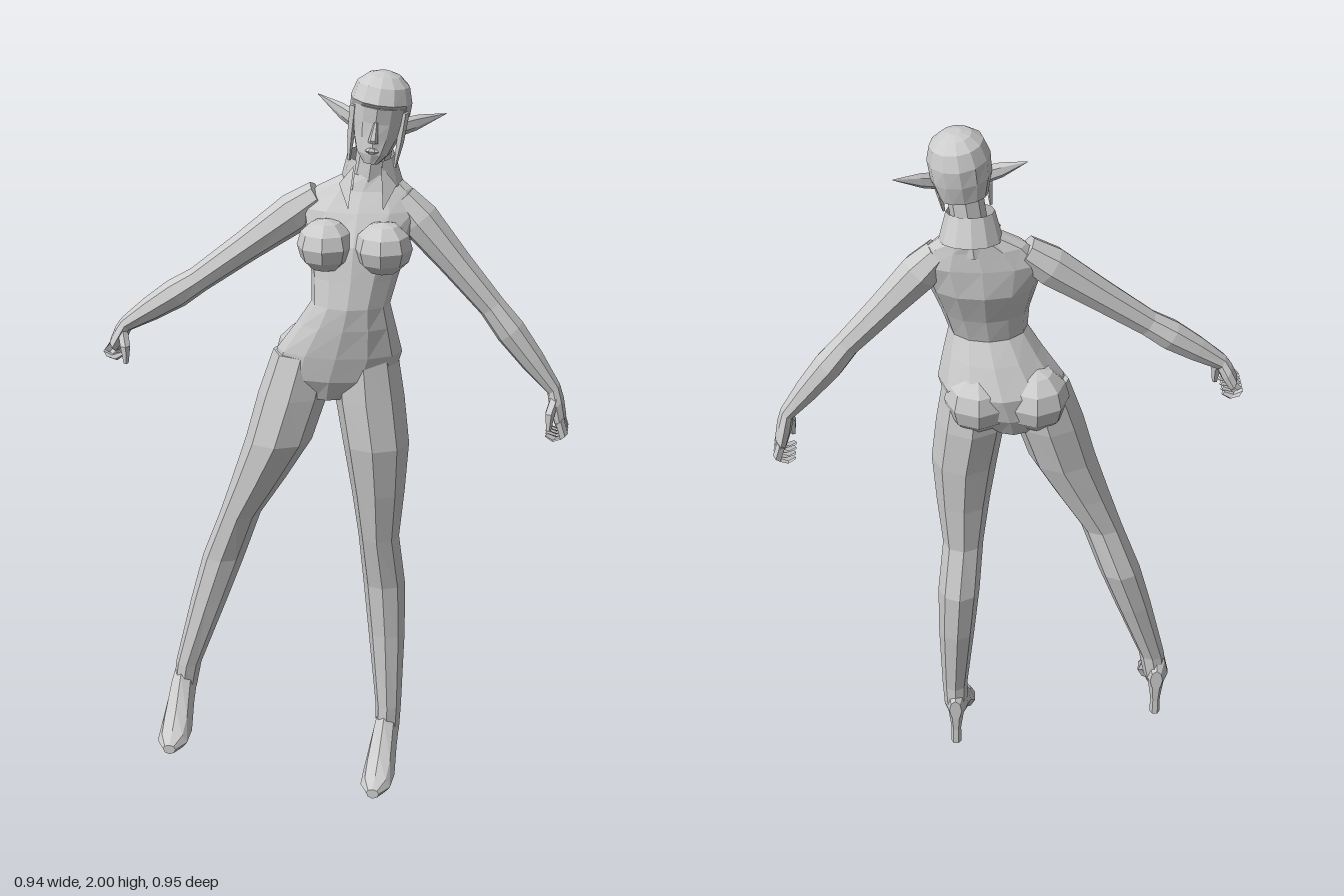
import * as THREE from 'three';

const X = new THREE.Vector3(1, 0, 0), Y = new THREE.Vector3(0, 1, 0), Z = new THREE.Vector3(0, 0, 1);

export function createModel() {
  const grey = new THREE.MeshStandardMaterial({ color: 0xcccccc });
  const greySheet = new THREE.MeshStandardMaterial({ color: 0xcccccc, side: THREE.DoubleSide });
  const model = new THREE.Group();
  const figure = new THREE.Group();
  figure.name = 'figure';
  figure.rotation.y = -Math.PI / 4; // the figure stands turned to its right
  model.add(figure);

  function add(name, geometry, parent = figure, material = grey) {
    const flat = geometry.index ? geometry.toNonIndexed() : geometry;
    flat.computeVertexNormals();
    const mesh = new THREE.Mesh(flat, material);
    mesh.name = name;
    parent.add(mesh);
    return mesh;
  }

  // Skin closed rings [x, y, z, radiusA, radiusB, radiusBehindB] lying in the plane of axes a and b
  function loft(name, rings, n = 8, a = X, b = Z, parent = figure) {
    const pos = [], index = [], count = rings.length;
    for (const [x, y, z, ra, rb, back = rb] of rings) {
      for (let j = 0; j < n; j++) {
        const t = (j / n) * Math.PI * 2, s = Math.sin(t);
        const p = new THREE.Vector3(x, y, z)
          .addScaledVector(a, ra * Math.cos(t)).addScaledVector(b, s * (s > 0 ? rb : back));
        pos.push(p.x, p.y, p.z);
      }
    }
    const first = new THREE.Vector3(...rings[0]), last = new THREE.Vector3(...rings[count - 1]);
    const flip = a.clone().cross(b).dot(last.clone().sub(first)) < 0;
    const tri = (p, q, r) => (flip ? index.push(p, r, q) : index.push(p, q, r));
    pos.push(first.x, first.y, first.z, last.x, last.y, last.z);
    for (let j = 0; j < n; j++) {
      const k = (j + 1) % n;
      for (let i = 0; i < count - 1; i++) {
        const p = i * n + j, q = i * n + k;
        tri(p, q, p + n);
        tri(q, q + n, p + n);
      }
      tri(count * n, k, j);
      tri(count * n + 1, (count - 1) * n + j, (count - 1) * n + k);
    }
    const g = new THREE.BufferGeometry();
    g.setAttribute('position', new THREE.Float32BufferAttribute(pos, 3));
    g.setIndex(index);
    return add(name, g, parent);
  }

  function ball(name, x, y, z, rx, ry, rz) {
    const mesh = add(name, new THREE.SphereGeometry(1, 8, 6).scale(rx, ry, rz));
    mesh.position.set(x, y, z);
  }

  // Torso from crotch to neck base
  loft('torso', [
    [-0.02, 1.13, 0.01, 0.07, 0.07, 0.08],
    [-0.01, 1.19, 0.02, 0.165, 0.09, 0.12],
    [0.01, 1.26, 0.03, 0.167, 0.095, 0.14],
    [0.03, 1.34, 0.045, 0.13, 0.092, 0.115],
    [0.042, 1.40, 0.052, 0.104, 0.09, 0.085],
    [0.05, 1.47, 0.03, 0.115, 0.1, 0.08],
    [0.055, 1.56, 0.0, 0.14, 0.115, 0.085],
    [0.06, 1.64, -0.02, 0.165, 0.09, 0.065],
    [0.07, 1.69, -0.025, 0.125, 0.06, 0.055],
    [0.085, 1.73, -0.03, 0.06, 0.05, 0.05],
  ], 12);
  for (const [x, z] of [[-0.02, 0.085], [0.132, 0.1]]) ball('breast', x, 1.56, z, 0.076, 0.07, 0.085);
  for (const x of [-0.08, 0.072]) ball('buttock', x, 1.225, -0.03, 0.09, 0.09, 0.095);
  loft('neck', [[0.08, 1.68, -0.03, 0.055, 0.055], [0.09, 1.76, -0.025, 0.046, 0.05], [0.1, 1.83, -0.02, 0.046, 0.05]]);

  // Standing collar, open at the throat, with two lapels
  const collar = add('collar',
    new THREE.CylinderGeometry(0.062, 0.082, 0.075, 10, 1, true, 0.55, Math.PI * 2 - 1.1), figure, greySheet);
  collar.position.set(0.087, 1.745, -0.022);
  collar.rotation.x = 0.18;
  for (const s of [-1, 1]) {
    const g = new THREE.BufferGeometry().setFromPoints([
      [0.035, 1.76, 0.035], [0.075, 1.71, 0.03], [0.045, 1.655, 0.085],
    ].map(([x, y, z]) => new THREE.Vector3(0.083 + s * x, y, z)));
    add('lapel', g, figure, greySheet);
  }

  // Legs: shared thicknesses over two different centre lines
  const legSize = [
    [0.085, 0.09, 0.1], [0.094, 0.092, 0.108], [0.09, 0.095, 0.098], [0.073, 0.08, 0.075],
    [0.056, 0.064, 0.056], [0.058, 0.056, 0.066], [0.051, 0.048, 0.058], [0.036, 0.04, 0.04], [0.033, 0.045, 0.04],
  ];
  const legLines = {
    left: [[0.08, 1.25, 0.015], [0.09, 1.13, 0.02], [0.108, 1, 0.025], [0.114, 0.86, 0.018], [0.116, 0.72, 0.008],
      [0.13, 0.57, -0.015], [0.138, 0.42, -0.012], [0.146, 0.2, 0.003], [0.144, 0.12, 0]],
    right: [[-0.085, 1.25, 0.015], [-0.117, 1.13, 0.022], [-0.156, 1, 0.025], [-0.213, 0.88, 0.015], [-0.268, 0.77, 0.005],
      [-0.32, 0.63, -0.012], [-0.362, 0.5, -0.008], [-0.425, 0.3, 0], [-0.438, 0.22, -0.005]],
  };
  for (const side in legLines) loft(side + 'Leg', legLines[side].map((p, i) => [...p, ...legSize[i]]), 8);

  // High-heeled shoes
  function shoe(name, x, y, z, yaw) {
    const g = new THREE.Group();
    g.name = name;
    g.position.set(x, y, z);
    g.rotation.y = yaw;
    figure.add(g);
    loft('upper', [
      [0, 0.13, -0.045, 0.018, 0.035, 0.035], [0, 0.13, -0.01, 0.034, 0.07, 0.045],
      [0, 0.095, 0.045, 0.038, 0.075, 0.04], [0, 0.035, 0.11, 0.045, 0.06, 0.033],
      [0, 0.022, 0.16, 0.042, 0.03, 0.021], [0, 0.018, 0.198, 0.018, 0.012, 0.016],
    ], 8, X, Y, g);
    loft('heel', [[0, 0.12, -0.022, 0.024, 0.026], [0, 0.05, -0.027, 0.014, 0.016], [0, 0, -0.029, 0.015, 0.016]], 6, X, Z, g);
  }
  shoe('leftShoe', 0.142, 0, 0, -0.1);
  shoe('rightShoe', -0.44, 0.1, -0.005, -0.05);

  // Arms: [position between joints 0..3, radius across, radius front to back]
  const armSize = [
    [0, 0.042, 0.045], [0.2, 0.054, 0.056], [0.6, 0.043, 0.047], [1, 0.036, 0.038], [1.3, 0.041, 0.046],
    [1.65, 0.034, 0.038], [2, 0.021, 0.028], [2.3, 0.024, 0.04], [2.65, 0.02, 0.046],
  ];
  function arm(side, joints) {
    const p = joints.map(([x, y, z]) => new THREE.Vector3(x, y, z));
    const out = Math.sign(p[3].x);
    const at = t => p[Math.min(Math.floor(t), 2)].clone().lerp(p[Math.min(Math.floor(t), 2) + 1], t - Math.min(Math.floor(t), 2));
    const along = p[2].clone().sub(p[0]).normalize();
    const across = new THREE.Vector3(-along.y, along.x, 0);
    loft(side + 'Arm', armSize.map(([t, ra, rb]) => [...at(t).toArray(), ra, rb]), 8, across, Z);
    // Curled fingers and thumb
    const knuckle = at(2.6), tip = p[3];
    for (let i = 0; i < 4; i++) {
      const z = knuckle.z - 0.034 + i * 0.023;
      loft(side + 'Finger', [
        [knuckle.x, knuckle.y, z, 0.014, 0.013], [tip.x, tip.y + 0.012, z, 0.014, 0.013],
        [tip.x - out * 0.022, tip.y + 0.003, z, 0.011, 0.011], [tip.x - out * 0.045, tip.y + 0.014, z, 0.007, 0.008],
      ], 5, across, Z);
    }
    const base = at(2.15);
    loft(side + 'Thumb', [
      [base.x, base.y, base.z + 0.015, 0.014, 0.018],
      [base.x - out * 0.012, base.y - 0.035, base.z + 0.046, 0.014, 0.015],
      [base.x - out * 0.014, base.y - 0.082, base.z + 0.05, 0.007, 0.008],
    ], 5, X, Z);
  }
  arm('left', [[0.165, 1.665, -0.018], [0.41, 1.385, 0.002], [0.58, 1.165, 0.01], [0.612, 1.03, 0.005]]);
  arm('right', [[-0.05, 1.665, -0.018], [-0.372, 1.43, 0], [-0.572, 1.3, 0.005], [-0.622, 1.212, 0]]);

  // Head, tilted to its left
  const head = new THREE.Group();
  head.name = 'head';
  head.position.set(0.095, 1.78, 0);
  head.rotation.z = -0.13;
  figure.add(head);
  loft('skull', [
    [0, -0.003, 0.07, 0.02, 0.018, 0.03], [0, 0.022, 0.04, 0.045, 0.054, 0.08],
    [0, 0.06, 0, 0.062, 0.09, 0.072], [0, 0.1, 0, 0.07, 0.086, 0.085], [0, 0.14, 0, 0.072, 0.09, 0.09],
  ], 12, X, Z, head);
  loft('hairCap', [
    [0, 0.055, -0.035, 0.06, 0.035, 0.046], [0, 0.105, -0.015, 0.077, 0.055, 0.078],
    [0, 0.15, 0, 0.08, 0.093, 0.096], [0, 0.19, -0.002, 0.068, 0.076, 0.08],
    [0, 0.212, -0.004, 0.042, 0.046, 0.05], [0, 0.22, -0.005, 0.016, 0.018, 0.02],
  ], 12, X, Z, head);
  loft('nose', [[0, 0.054, 0.094, 0.013, 0.014], [0, 0.062, 0.094, 0.012, 0.018], [0, 0.105, 0.084, 0.005, 0.006]], 6, X, Z, head);
  loft('lips', [[0, 0.024, 0.09, 0.008, 0.005], [0, 0.031, 0.09, 0.019, 0.009], [0, 0.039, 0.088, 0.008, 0.007]], 6, X, Z, head);
  for (const s of [-1, 1]) {
    loft('ear', [
      [s * 0.06, 0.085, 0.005, 0.025, 0.012], [s * 0.1, 0.1, -0.012, 0.021, 0.009], [s * 0.168, 0.128, -0.04, 0.001, 0.001],
    ], 6, Y, Z, head);
    loft('sideLock', [
      [s * 0.066, 0.13, 0.03, 0.012, 0.018], [s * 0.064, 0.05, 0.028, 0.01, 0.015], [s * 0.06, -0.015, 0.03, 0.004, 0.005],
    ], 5, X, Z, head);
  }
  return model;
}
